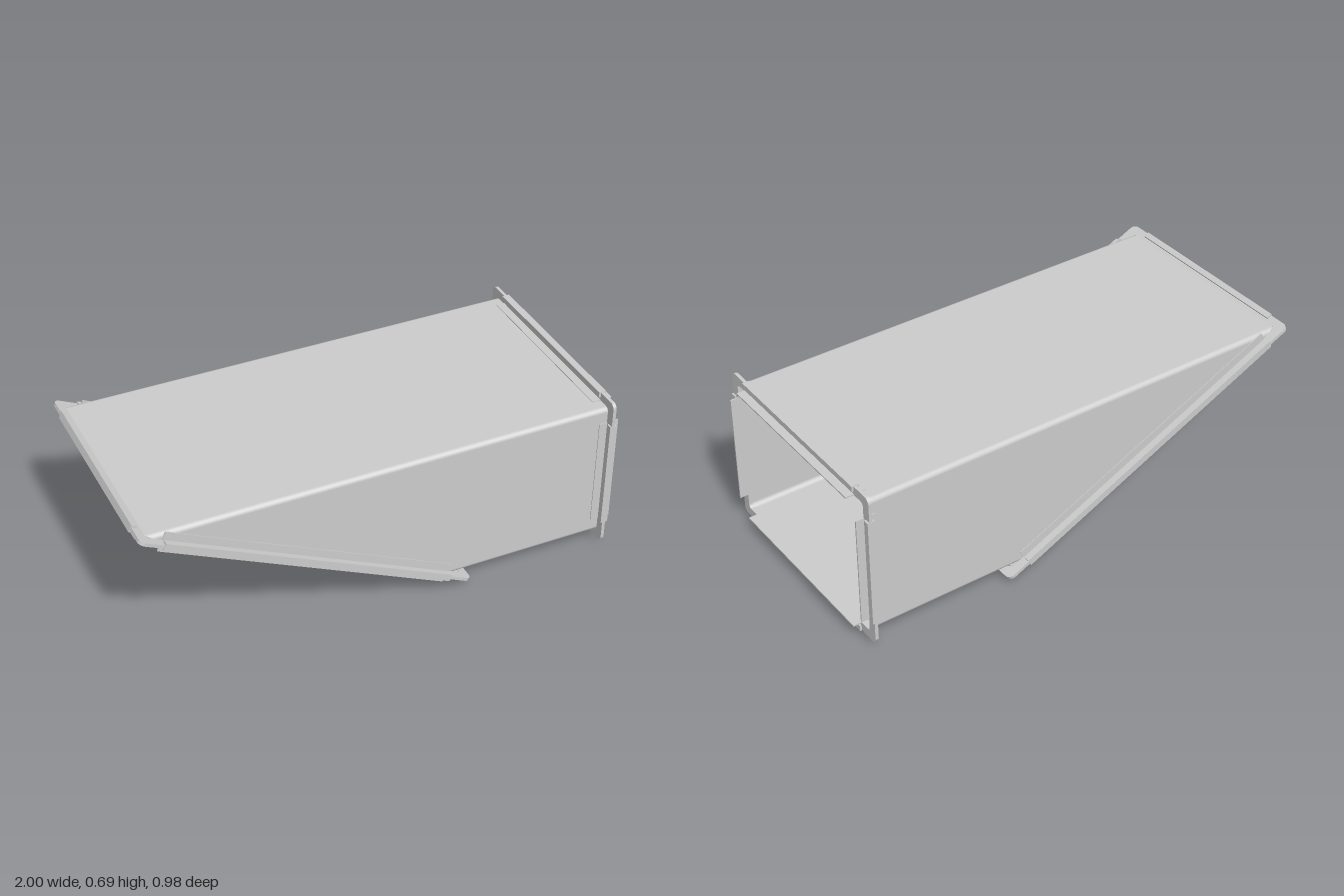
import * as THREE from 'three';

const mat = new THREE.MeshStandardMaterial({ color: 0xcccccc });
const sheet = new THREE.MeshStandardMaterial({ color: 0xcccccc, side: THREE.DoubleSide });

// Slanted mouth: centre and unit directions up the slope and out of the mouth
const C = new THREE.Vector3(-0.315, 0.34, 0);
const UP = new THREE.Vector3(-1.35, 0.64, 0).normalize();
const OUT = new THREE.Vector3(UP.y * -1, UP.x, 0);
const slopeX = (y) => C.x + (y - C.y) * UP.x / UP.y;

function mesh(parent, name, geo, material = mat) {
  const m = new THREE.Mesh(geo, material);
  m.name = name;
  parent.add(m);
  return m;
}

function box(parent, name, sx, sy, sz, x, y, z) {
  const m = mesh(parent, name, new THREE.BoxGeometry(sx, sy, sz));
  m.position.set(x, y, z);
  return m;
}

function roundRect(P, w, h, r) {
  const s = new P();
  const x = w / 2, y = h / 2;
  s.moveTo(-x + r, -y);
  s.lineTo(x - r, -y);
  s.absarc(x - r, -y + r, r, -Math.PI / 2, 0);
  s.lineTo(x, y - r);
  s.absarc(x - r, y - r, r, 0, Math.PI / 2);
  s.lineTo(-x + r, y);
  s.absarc(-x + r, y - r, r, Math.PI / 2, Math.PI);
  s.lineTo(-x, -y + r);
  s.absarc(-x + r, -y + r, r, Math.PI, Math.PI * 1.5);
  return s;
}

// Rectangular ring centred on local z = 0
function ring(w, h, r, iw, ih, ir, depth) {
  const s = roundRect(THREE.Shape, w, h, r);
  s.holes.push(roundRect(THREE.Path, iw, ih, ir));
  return new THREE.ExtrudeGeometry(s, { depth, bevelEnabled: false, curveSegments: 6 })
    .translate(0, 0, -depth / 2);
}

// Duct wall: rounded rectangle swept along x, its left end cut by the slope
function ductGeometry() {
  const pos = [], nor = [], idx = [];
  const r = 0.02, seg = 5;
  for (let q = 0; q < 4; q++) {
    const cz = (q === 0 || q === 3 ? 1 : -1) * (0.45 - r);
    const cy = 0.35 + (q < 2 ? 1 : -1) * (0.3 - r);
    for (let i = 0; i <= seg; i++) {
      const a = (q + i / seg) * Math.PI / 2;
      const z = cz + r * Math.cos(a), y = cy + r * Math.sin(a);
      pos.push(slopeX(y), y, z, 0.96, y, z);
      for (let k = 0; k < 2; k++) nor.push(0, Math.sin(a), Math.cos(a));
    }
  }
  const n = pos.length / 6;
  for (let i = 0; i < n; i++) {
    const a = 2 * i, b = 2 * ((i + 1) % n);
    idx.push(a, a + 1, b, b, a + 1, b + 1);
  }
  const g = new THREE.BufferGeometry();
  g.setAttribute('position', new THREE.Float32BufferAttribute(pos, 3));
  g.setAttribute('normal', new THREE.Float32BufferAttribute(nor, 3));
  g.setIndex(idx);
  return g;
}

// Flange in its local xy plane, facing +z, with edge clips and lips along the duct
function flange(name, w, h, endLipBack) {
  const g = new THREE.Group();
  g.name = name;
  const rim = 0.036, lip = 0.042, t = 0.006;
  mesh(g, 'flangePlate', ring(w + 2 * rim, h + 2 * rim, 0.025, w - 0.004, h - 0.004, 0.015, 0.014));
  for (const s of [-1, 1]) {
    // Clips hugging the outer edge
    box(g, 'endClip', w - 0.12, 0.024, 0.03, 0, s * (h / 2 + rim - 0.01), 0);
    box(g, 'sideClip', 0.024, h - 0.13, 0.03, s * (w / 2 + rim - 0.01), 0, 0);
    // Lips at the duct wall
    box(g, 'sideLip', t, h - 0.13, 2 * lip, s * w / 2, 0, 0);
    box(g, 'endLip', w - 0.12, t, lip + endLipBack, 0, s * h / 2, (lip - endLipBack) / 2);
  }
  return g;
}

// Orients a group so its local y and z follow the given directions
function orient(g, up, out, at) {
  const side = new THREE.Vector3().crossVectors(up, out);
  g.quaternion.setFromRotationMatrix(new THREE.Matrix4().makeBasis(side, up, out));
  g.position.copy(at);
  return g;
}

export function createModel() {
  const model = new THREE.Group();
  model.name = 'ductOutlet';

  mesh(model, 'ductBody', ductGeometry(), sheet);

  // Square end flange
  model.add(orient(flange('endFlange', 0.9, 0.6, 0.042),
    new THREE.Vector3(0, 1, 0), new THREE.Vector3(1, 0, 0), new THREE.Vector3(0.957, 0.35, 0)));

  // Slanted mouth flange with its grille frame
  const mouth = orient(flange('mouthFlange', 0.9, 1.42, 0), UP, OUT, C);
  const frame = mesh(mouth, 'grilleFrame', ring(0.894, 1.41, 0.01, 0.83, 1.3, 0.004, 0.036));
  frame.position.z = 0.01;
  model.add(mouth);

  // Level louvre blades stepping up the slope
  const grille = new THREE.Group();
  grille.name = 'louvreGrille';
  for (let i = 0; i < 20; i++) {
    const y = 0.077 + i * 0.0259;
    box(grille, 'louvreBlade', 0.05, 0.006, 0.84, slopeX(y) + OUT.x * 0.01, y + OUT.y * 0.01, 0);
  }
  model.add(grille);

  return model;
}
